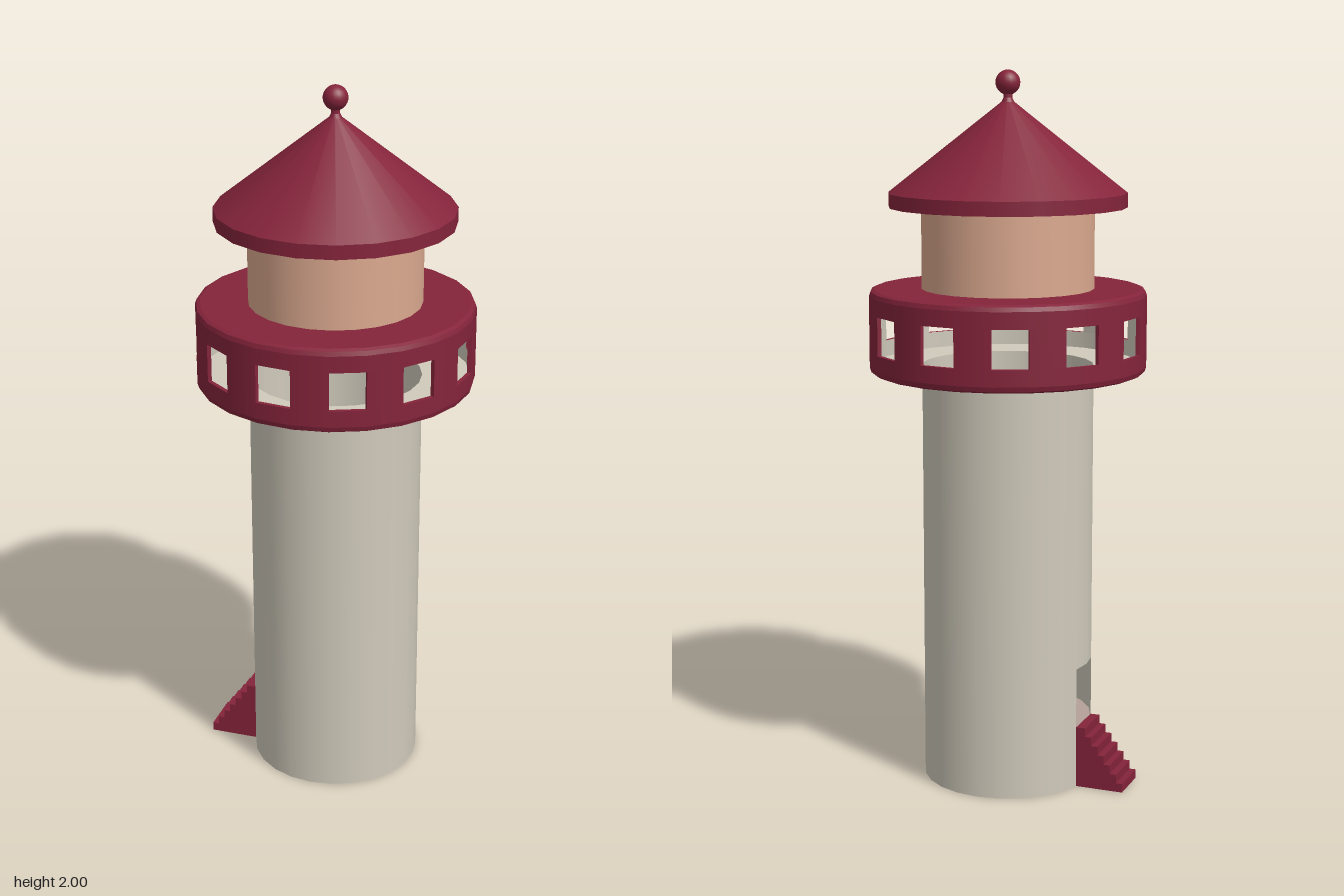
import * as THREE from 'three';
import { mergeGeometries } from 'three/addons/utils/BufferGeometryUtils.js';

const TAU = Math.PI * 2;
const STEP = TAU / 24;

function material(name, color, side = THREE.FrontSide) {
  const m = new THREE.MeshStandardMaterial({ color, side });
  m.name = name;
  return m;
}

// Turned surface: smooth around the axis, sharp at each profile point
function turned(points, sides = 24, start = 0, length = TAU) {
  const bands = [];
  for (let i = 0; i < points.length - 1; i++) {
    const pair = [points[i], points[i + 1]].map(([r, y]) => new THREE.Vector2(r, y));
    bands.push(new THREE.LatheGeometry(pair, sides, start, length));
  }
  return mergeGeometries(bands);
}

export function createModel() {
  const model = new THREE.Group();
  model.name = 'lighthouse';
  const red = material('dark red', 0x85243b);
  const stone = material('warm stone', 0xd0cabb, THREE.DoubleSide);
  const salmon = material('salmon', 0xdba98f);
  const navy = material('navy', 0x284a6c);
  const rose = material('rose grey', 0xb5a199);

  function add(name, geometry, mat, parent = model) {
    const mesh = new THREE.Mesh(geometry, mat);
    mesh.name = name;
    parent.add(mesh);
    return mesh;
  }

  // Hollow tower, with a two-facet doorway on the -x side
  const R = 0.24, doorLow = 0.175, doorHigh = 0.345, galleryFloor = 1.19;
  add('towerBase', turned([[0, 0], [R, 0], [R, doorLow]]), stone);
  add('towerDoorLevel', turned([[R, doorLow], [R, doorHigh]], 22, Math.PI * 1.5 + STEP, TAU - 2 * STEP), stone);
  add('towerShaft', turned([[R, doorHigh], [R, galleryFloor]]), stone);
  add('entranceFloor', turned([[R - 0.002, doorLow - 0.003], [0, doorLow - 0.003]]), rose);

  // Stairs up to the doorway
  const steps = 7, run = 0.13 / steps, rise = doorLow / steps;
  const stairShape = new THREE.Shape();
  stairShape.moveTo(-0.232, 0);
  stairShape.lineTo(-0.232, doorLow);
  for (let i = steps; i > 0; i--) {
    const x = -0.37 + (i - 1) * run;
    stairShape.lineTo(x, i * rise);
    stairShape.lineTo(x, (i - 1) * rise);
  }
  const stairs = new THREE.ExtrudeGeometry(stairShape, { depth: 0.124, bevelEnabled: false });
  stairs.translate(0, 0, -0.062);
  add('stairs', stairs, red);

  // Gallery ring: closed lower and upper bands around the window row
  const gallery = new THREE.Group();
  gallery.name = 'gallery';
  model.add(gallery);
  const G = 0.386, inner = 0.374, sill = 1.236, head = 1.342;
  add('galleryLowerBand', turned([[R - 0.005, 1.172], [0.372, 1.172], [0.382, 1.177], [G, 1.19], [G, sill], [inner, sill]]), red, gallery);
  add('galleryUpperBand', turned([[inner, head], [G, head], [G, 1.388], [0.382, 1.4], [0.372, 1.405], [R - 0.01, 1.405]]), red, gallery);

  // Hollow room behind the windows
  add('galleryFloor', turned([[inner, galleryFloor], [R, galleryFloor]]), stone, gallery);
  add('galleryLowerLining', turned([[inner, sill], [inner, galleryFloor]]), stone, gallery);
  add('galleryUpperLining', turned([[inner, 1.395], [inner, head]]), stone, gallery);
  add('galleryCeiling', turned([[0, 1.395], [inner, 1.395]]), navy, gallery);

  // Wall panels on every other facet leave twelve square windows
  const wide = 2 * G * Math.sin(STEP / 2);
  for (let k = 0; k < 12; k++) {
    const start = k * 2 * STEP, mid = start + STEP / 2;
    add('windowPillar', turned([[G, sill], [G, head]], 1, start, STEP), red, gallery);
    const back = new THREE.BoxGeometry(wide - 0.001, head - sill, 0.011);
    back.translate(0, (sill + head) / 2, G * Math.cos(STEP / 2) - 0.0065);
    back.rotateY(mid);
    add('pillarBacking', back, [red, red, red, red, red, stone], gallery);
  }

  // Lantern room and conical roof
  add('lanternRoom', turned([[R, 1.4], [R, 1.635]]), salmon);
  add('roof', turned([[0, 1.629], [0.33, 1.629], [0.33, 1.668], [0.012, 1.918]], 20), red);

  // Finial
  add('finialNeck', turned([[0.022, 1.905], [0.012, 1.925], [0.012, 1.945]], 16), red);
  const ball = new THREE.SphereGeometry(0.034, 20, 14);
  ball.translate(0, 1.966, 0);
  add('finialBall', ball, red);

  return model;
}
